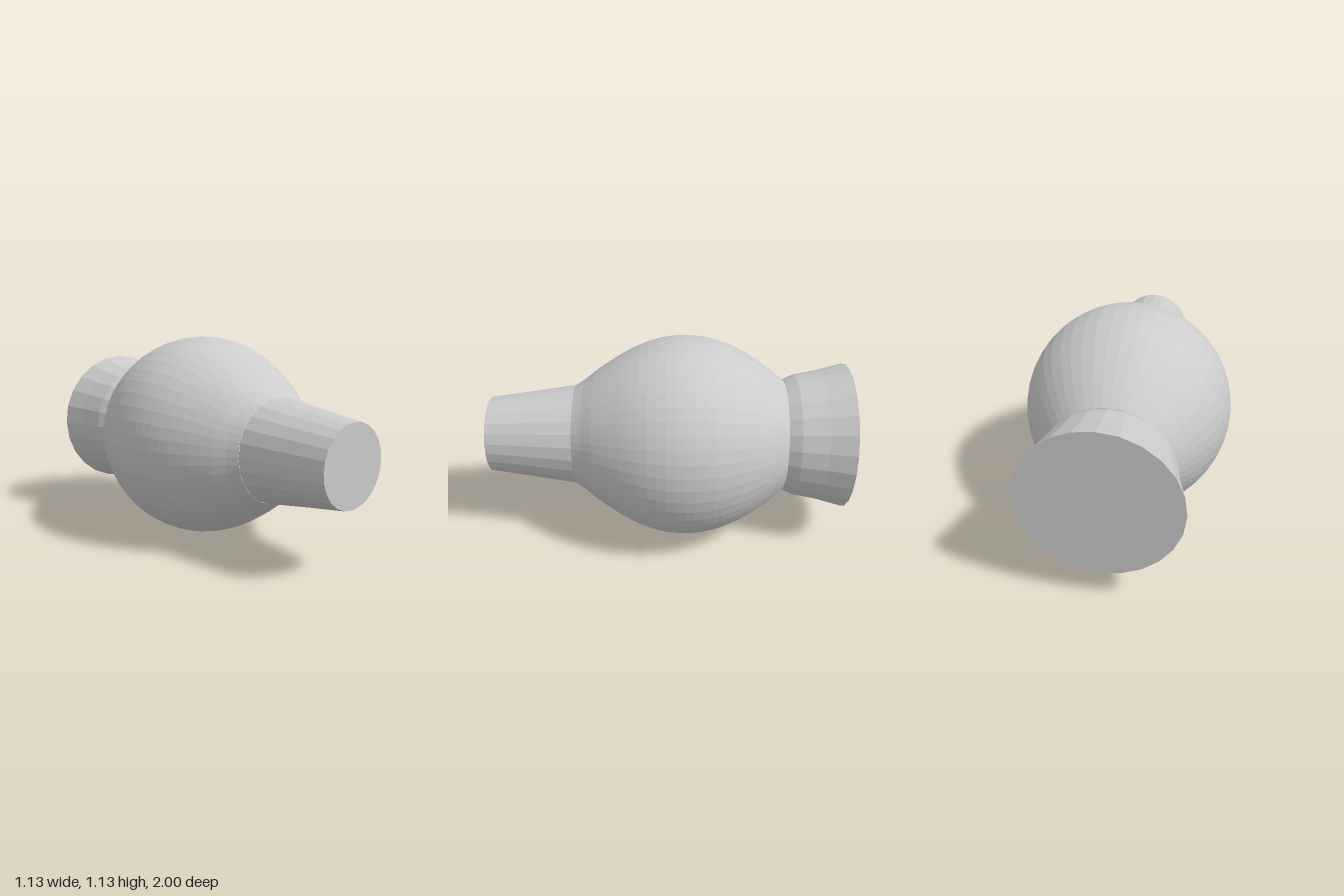
import * as THREE from 'three';

const CENTRE_Y = 0.57;

export function createModel() {
  const group = new THREE.Group();
  const material = new THREE.MeshStandardMaterial({ color: 0xcccccc, flatShading: true });

  // Turns a list of [radius, z] (rising z) around the z axis
  function turned(name, profile, sides) {
    const points = profile.map(([r, z]) => new THREE.Vector2(r, z));
    const geometry = new THREE.LatheGeometry(points, sides);
    geometry.rotateX(Math.PI / 2);
    const mesh = new THREE.Mesh(geometry, material);
    mesh.name = name;
    mesh.position.y = CENTRE_Y;
    group.add(mesh);
  }

  // Flared back collar with a flat end
  turned('backCollar', [
    [0, -1], [0.41, -1], [0.372, -0.86], [0.345, -0.72], [0.315, -0.655],
  ], 24);

  // Round bulging body, widest just behind the middle
  const bulge = new THREE.SplineCurve([
    [0.315, -0.655], [0.362, -0.6], [0.435, -0.5], [0.492, -0.4], [0.534, -0.3],
    [0.559, -0.2], [0.567, -0.1], [0.559, 0], [0.534, 0.1], [0.492, 0.2],
    [0.435, 0.3], [0.368, 0.4], [0.32, 0.46], [0.284, 0.515],
  ].map(([r, z]) => new THREE.Vector2(r, z)));
  turned('body', bulge.getPoints(26).map((p) => [p.x, p.y]), 48);

  // Tapered front neck with a flat end
  turned('frontNeck', [
    [0.284, 0.515], [0.248, 0.75], [0.213, 1], [0, 1],
  ], 24);

  return group;
}
